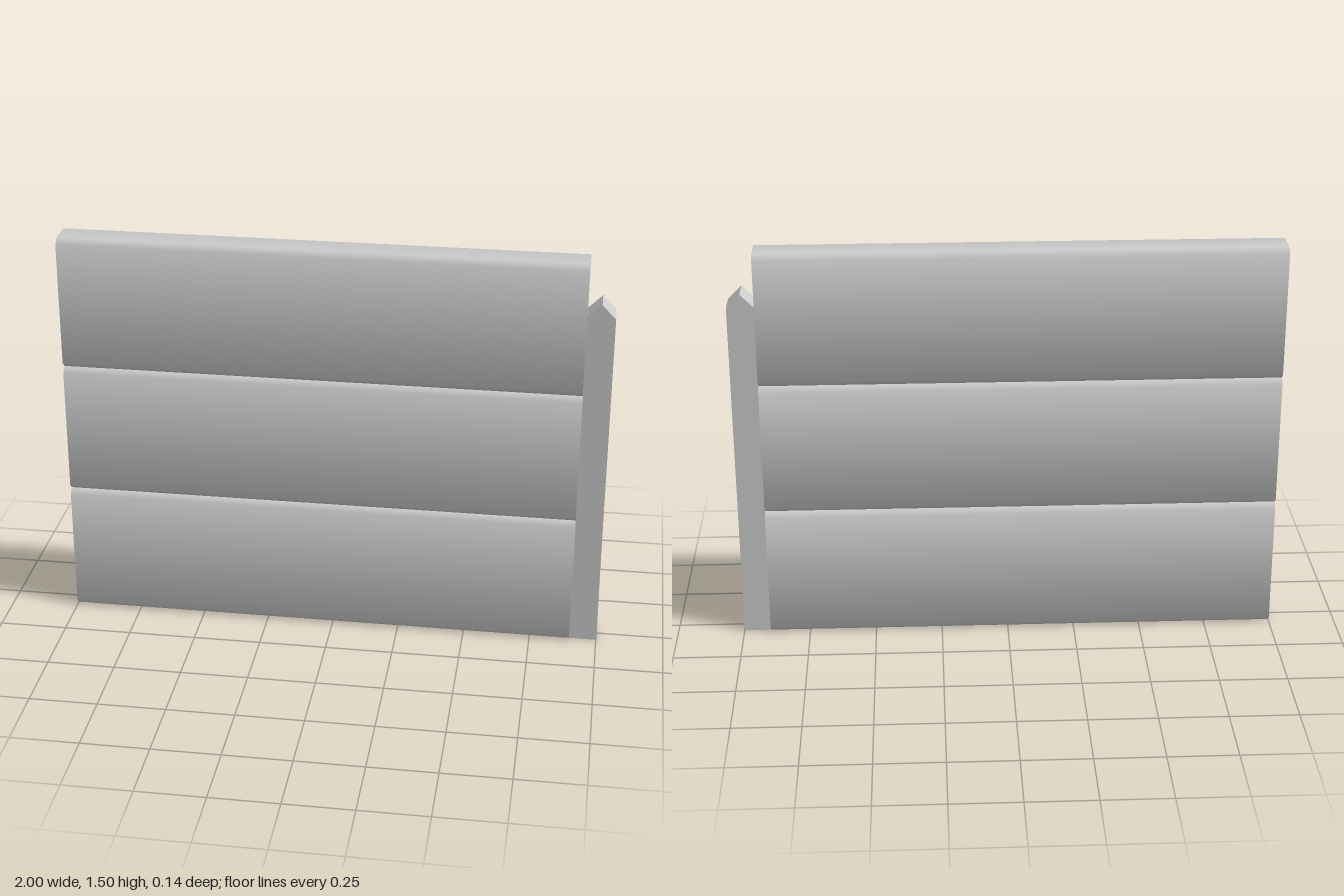
import * as THREE from 'three';

const material = new THREE.MeshStandardMaterial({ color: 0xcccccc });

const extrude = (points, depth) => new THREE.ExtrudeGeometry(
  new THREE.Shape(points.map(([x, y]) => new THREE.Vector2(x, y))),
  { depth, bevelEnabled: false });

// Board with chamfered long edges, running along x, softly shaded round its section
function plankGeometry(length, height, thickness, chamfer) {
  const h = height / 2, t = thickness / 2, c = chamfer;
  const geometry = extrude([
    [t - c, -h], [t, c - h], [t, h - c], [t - c, h],
    [c - t, h], [-t, h - c], [-t, c - h], [c - t, -h],
  ], length);
  geometry.translate(0, 0, -length / 2).rotateY(Math.PI / 2);

  // Each corner normal halves the angle between its two faces; the ends stay flat
  const { position, normal } = geometry.attributes;
  const major = Math.cos(Math.PI / 8), minor = Math.sin(Math.PI / 8);
  for (let i = 0; i < position.count; i++) {
    if (Math.abs(normal.getX(i)) > 0.5) continue;
    const y = position.getY(i), z = position.getZ(i);
    const onBroadFace = Math.abs(z) > t - c / 2;
    normal.setXYZ(i, 0,
      Math.sign(y) * (onBroadFace ? minor : major),
      Math.sign(z) * (onBroadFace ? major : minor));
  }
  return geometry;
}

export function createModel() {
  const group = new THREE.Group();
  group.name = 'fencePanel';

  // Three stacked planks
  const plank = plankGeometry(1.9, 0.5, 0.14, 0.02);
  for (let i = 0; i < 3; i++) {
    const mesh = new THREE.Mesh(plank, material);
    mesh.name = `plank${i + 1}`;
    mesh.position.set(-0.05, 0.25 + i * 0.5, 0);
    group.add(mesh);
  }

  // End post with a ridged top
  const post = new THREE.Mesh(
    extrude([[-0.05, 0], [0.05, 0], [0.05, 1.3], [0, 1.35], [-0.05, 1.3]], 0.1), material);
  post.name = 'post';
  post.position.set(0.95, 0, -0.05);
  group.add(post);

  return group;
}
